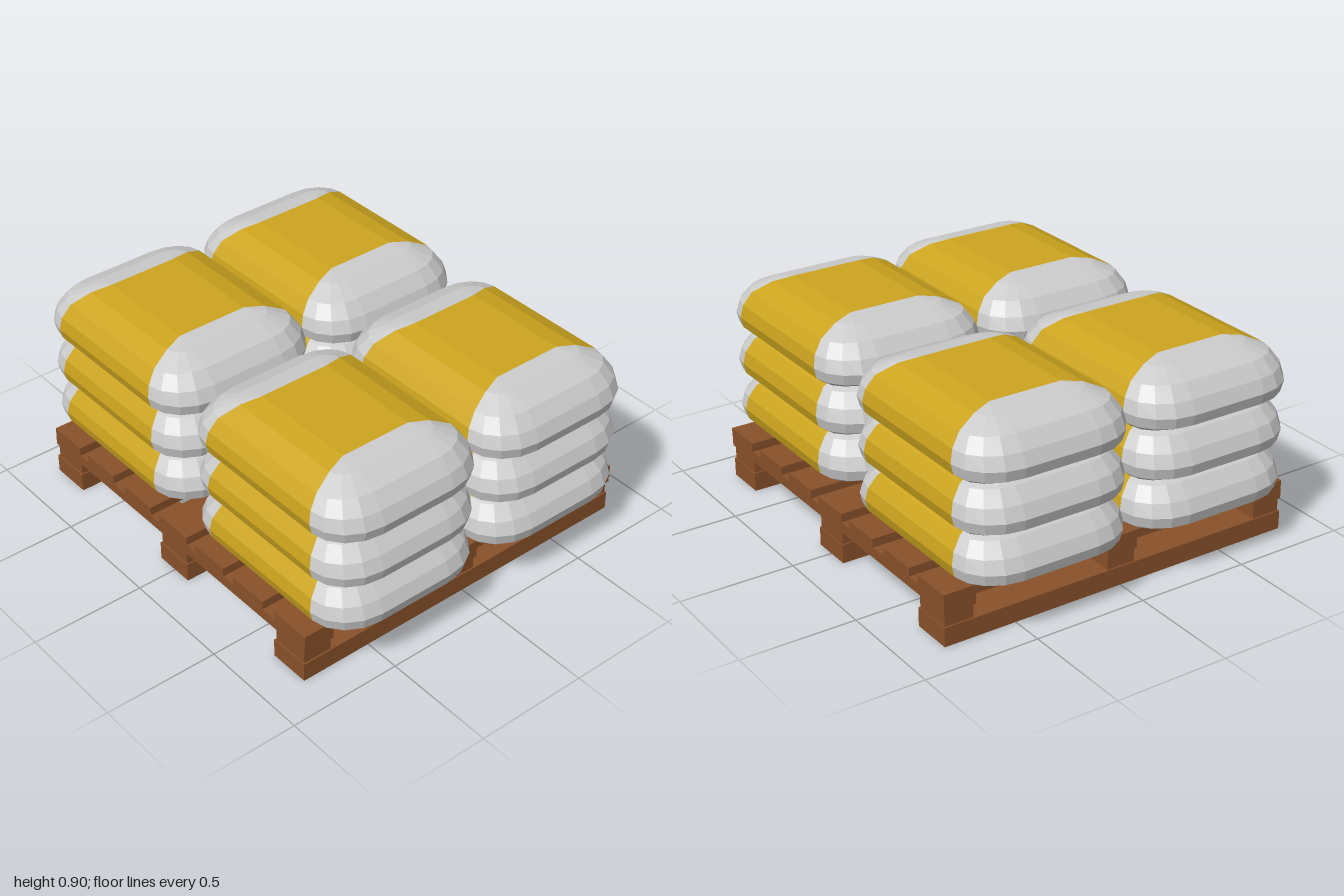
import * as THREE from 'three';

const wood = new THREE.MeshStandardMaterial({ color: 0x8a512a });
const yellow = new THREE.MeshStandardMaterial({ color: 0xcca41f, flatShading: true });
const grey = new THREE.MeshStandardMaterial({ color: 0xcccccc, flatShading: true });

// Sack levels: height, half width, half depth, half length of straight front and side edges
const LEVELS = [
  [0, 0.37, 0.305, 0.3, 0.17],
  [0.012, 0.43, 0.335, 0.31, 0.17],
  [0.038, 0.483, 0.368, 0.315, 0.17],
  [0.085, 0.495, 0.38, 0.315, 0.17],
  [0.14, 0.47, 0.368, 0.308, 0.17],
  [0.195, 0.42, 0.33, 0.295, 0.168],
  [0.235, 0.33, 0.245, 0.266, 0.163],
  [0.25, 0.24, 0.16, 0.24, 0.16],
];
const ARC = 4;

// Rounded-rectangle ring: four corner arcs of ARC + 1 points
function ring([y, ex, ez, sx, sz]) {
  const pts = [];
  for (let q = 0; q < 4; q++) {
    const kx = q === 0 || q === 3 ? 1 : -1;
    const kz = q < 2 ? 1 : -1;
    for (let i = 0; i <= ARC; i++) {
      const a = (q + i / ARC) * Math.PI / 2;
      pts.push(new THREE.Vector3(
        kx * sx + (ex - sx) * Math.cos(a), y, kz * sz + (ez - sz) * Math.sin(a)));
    }
  }
  return pts;
}

function toGeometry(points) {
  const g = new THREE.BufferGeometry().setFromPoints(points);
  g.computeVertexNormals();
  return g;
}

// Sack skin split into the coloured middle band and the plain ends
function sackGeometries() {
  const band = [], ends = [];
  const tri = (list, a, b, c) => {
    const area = b.clone().sub(a).cross(c.clone().sub(a)).length();
    if (area > 1e-8) list.push(a, b, c);
  };
  const rings = LEVELS.map(ring);
  const n = rings[0].length;
  const c = [ARC, ARC + 1, 3 * ARC + 2, 3 * ARC + 3]; // ends of the straight front and back edges
  for (let k = 0; k < rings.length - 1; k++) {
    const lo = rings[k], up = rings[k + 1];
    for (let i = 0; i < n; i++) {
      const j = (i + 1) % n;
      const list = i === c[0] || i === c[2] ? band : ends;
      tri(list, lo[i], up[i], up[j]);
      tri(list, lo[i], up[j], lo[j]);
    }
  }
  // flat top and underside
  const top = rings[rings.length - 1], bot = rings[0];
  tri(band, top[c[0]], top[c[3]], top[c[2]]);
  tri(band, top[c[0]], top[c[2]], top[c[1]]);
  tri(band, bot[c[0]], bot[c[1]], bot[c[2]]);
  tri(band, bot[c[0]], bot[c[2]], bot[c[3]]);
  for (const start of [c[1], c[3]]) {
    for (let i = 1; i < 2 * ARC + 1; i++) {
      tri(ends, bot[start], bot[(start + i) % n], bot[(start + i + 1) % n]);
    }
  }
  return [toGeometry(band), toGeometry(ends)];
}

function addMesh(parent, name, geometry, material) {
  const mesh = new THREE.Mesh(geometry, material);
  mesh.name = name;
  parent.add(mesh);
  return mesh;
}

// Box given by its limits
function plank(parent, name, x0, x1, y0, y1, z0, z1) {
  addMesh(parent, name, new THREE.BoxGeometry(x1 - x0, y1 - y0, z1 - z0), wood)
    .position.set((x0 + x1) / 2, (y0 + y1) / 2, (z0 + z1) / 2);
}

function createPallet() {
  const pallet = new THREE.Group();
  pallet.name = 'pallet';
  const runnersX = [-0.762, -0.004, 0.747];
  const beamsZ = [-0.753, 0.005, 0.75];

  for (const x of runnersX) {
    plank(pallet, 'bottomRunner', x - 0.092, x + 0.092, 0, 0.083, -0.822, 0.822);
    for (const z of beamsZ) {
      plank(pallet, 'spacerBlock', x - 0.085, x + 0.085, 0.083, 0.145, z - 0.065, z + 0.065);
    }
  }
  for (const z of beamsZ) {
    plank(pallet, 'crossBeam', -0.855, 0.843, 0.143, 0.188, z - 0.071, z + 0.071);
  }
  for (const x of [-0.762, -0.517, -0.249, -0.004, 0.24, 0.49, 0.75]) {
    plank(pallet, 'deckBoard', x - 0.093, x + 0.093, 0.188, 0.226, -0.825, 0.82);
  }
  return pallet;
}

export function createModel() {
  const model = new THREE.Group();
  model.name = 'loadedPallet';
  model.add(createPallet());

  // Four stacks of three sacks
  const [bandGeo, endGeo] = sackGeometries();
  for (const x of [-0.504, 0.504]) {
    for (const z of [-0.385, 0.395]) {
      const stack = new THREE.Group();
      stack.name = 'sackStack';
      stack.position.set(x, 0.226, z);
      for (let i = 0; i < 3; i++) {
        const sack = new THREE.Group();
        sack.name = 'sack';
        sack.position.y = i * 0.214;
        addMesh(sack, 'sackBand', bandGeo, yellow);
        addMesh(sack, 'sackEnds', endGeo, grey);
        stack.add(sack);
      }
      model.add(stack);
    }
  }
  return model;
}
